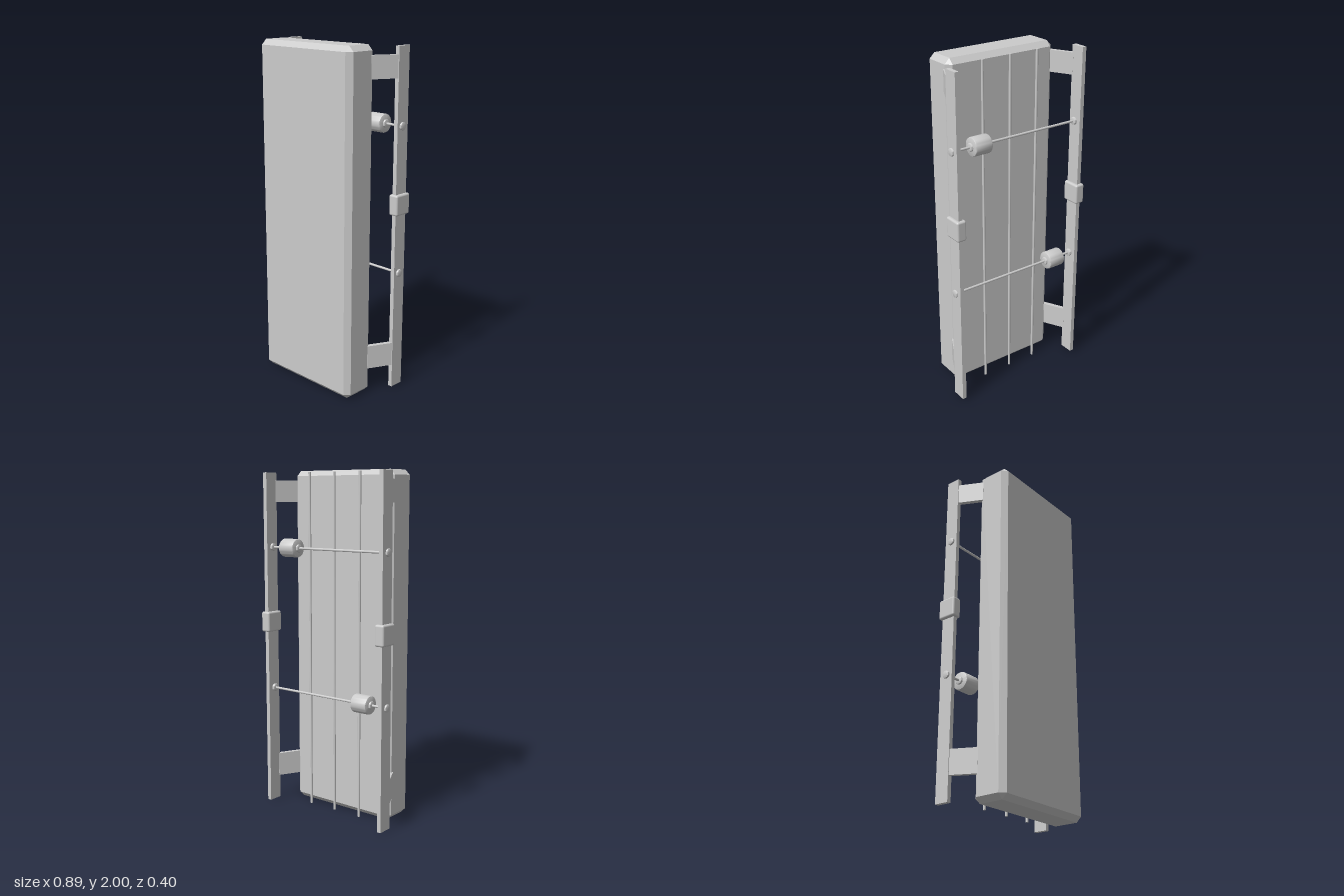
import * as THREE from 'three';
import { ConvexGeometry } from 'three/addons/geometries/ConvexGeometry.js';
import { RoundedBoxGeometry } from 'three/addons/geometries/RoundedBoxGeometry.js';
import { toCreasedNormals } from 'three/addons/utils/BufferGeometryUtils.js';

const material = new THREE.MeshStandardMaterial({ color: 0xcccccc });

function add(parent, name, geometry, x = 0, y = 0, z = 0) {
  const mesh = new THREE.Mesh(geometry, material);
  mesh.name = name;
  mesh.position.set(x, y, z);
  parent.add(mesh);
  return mesh;
}

// Box with every edge cut at 45 degrees
function chamferBox(w, h, d, c) {
  const points = [];
  for (const sx of [-1, 1]) for (const sy of [-1, 1]) for (const sz of [-1, 1]) {
    for (let axis = 0; axis < 3; axis++) {
      const p = [w / 2 - c, h / 2 - c, d / 2 - c];
      p[axis] += c;
      points.push(new THREE.Vector3(sx * p[0], sy * p[1], sz * p[2]));
    }
  }
  return new ConvexGeometry(points);
}

// Solid of revolution along x with softened rims
function drum(length, radius, bevel) {
  const l = length / 2, k = bevel * 0.3;
  const profile = [
    [0, -l], [radius - bevel, -l], [radius - k, -l + k], [radius, -l + bevel],
    [radius, l - bevel], [radius - k, l - k], [radius - bevel, l], [0, l],
  ].map(([r, y]) => new THREE.Vector2(r, y));
  return toCreasedNormals(new THREE.LatheGeometry(profile, 32).rotateZ(-Math.PI / 2), 0.7);
}

export function createModel() {
  const model = new THREE.Group();
  model.name = 'liftCar';
  const axleZ = -0.139;

  // Car body
  add(model, 'body', chamferBox(0.702, 2, 0.204, 0.03), 0, 1, 0.098);

  // Slanted bracket plan, extruded upwards
  const bracketPlan = new THREE.Shape([
    [0.355, 0.035], [0.335, 0.02], [0.402, -0.11], [0.426, -0.105],
  ].map(([x, z]) => new THREE.Vector2(x, -z)));
  const bracket = (height) => new THREE.ExtrudeGeometry(bracketPlan, {
    depth: height, bevelEnabled: false,
  }).rotateX(-Math.PI / 2);

  // Guide rails, guide shoes and brackets on both sides
  for (const side of [-1, 1]) {
    const label = side > 0 ? 'left' : 'right';
    add(model, label + 'Rail', new THREE.BoxGeometry(0.025, 1.98, 0.085), side * 0.415, 1, -0.143);
    add(model, label + 'GuideShoe', new RoundedBoxGeometry(0.06, 0.12, 0.112, 2, 0.012), side * 0.415, 1.12, -0.145);
    for (const [y, height] of [[0.15, 0.14], [1.82, 0.125]]) {
      const geometry = bracket(height);
      // A half turn about z swaps sides without turning faces inside out
      if (side < 0) geometry.rotateZ(Math.PI).translate(0, height, 0);
      add(model, label + 'Bracket', geometry, 0, y, 0);
    }
  }

  // Cross axles, each with a roller at one end and a cap at each rail
  for (const [y, rollerX] of [[1.56, 0.255], [0.715, -0.268]]) {
    const axle = new THREE.Group();
    axle.name = 'axleAssembly';
    axle.position.set(0, y, axleZ);
    model.add(axle);
    add(axle, 'axle', new THREE.CylinderGeometry(0.007, 0.007, 0.84, 16).rotateZ(Math.PI / 2));
    add(axle, 'roller', drum(0.108, 0.053, 0.008), rollerX);
    add(axle, 'rollerHub', drum(0.13, 0.023, 0.004), rollerX);
    for (const side of [-1, 1]) add(axle, 'axleCap', drum(0.05, 0.022, 0.004), side * 0.413);
  }

  // Hanging cables behind the body
  for (const x of [-0.183, -0.002, 0.178]) {
    add(model, 'cable', new THREE.CylinderGeometry(0.0075, 0.0075, 1.98, 16), x, 1, -0.064);
  }

  return model;
}
